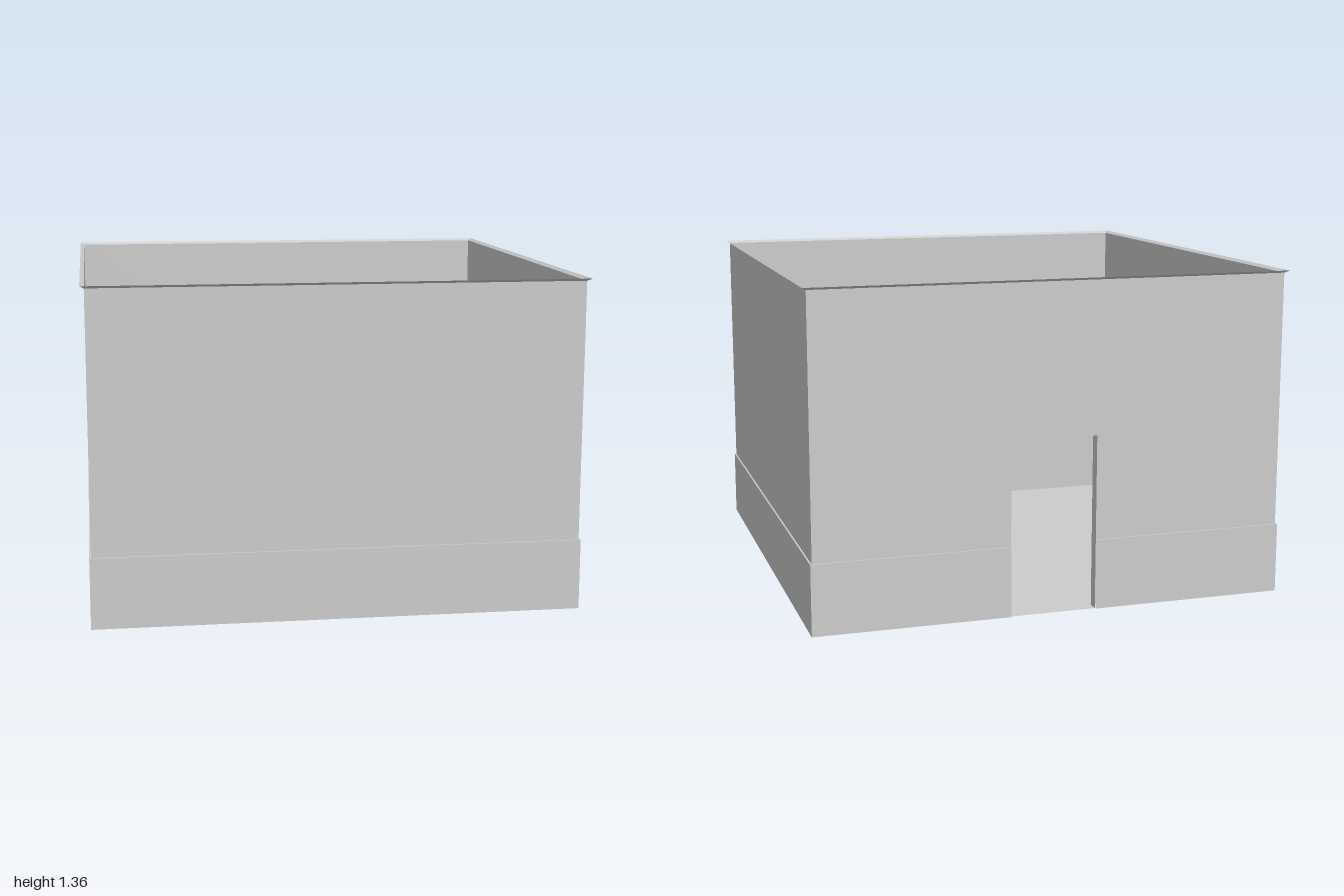
import * as THREE from 'three';

const DOOR_HALF = 0.18, DOOR_TOP = 0.72;
const OUTER = 0.983, PLINTH = 0.99, INNER = 0.937, CEILING_HALF = 0.92;
const PLINTH_TOP = 0.29, ROOM_TOP = 1.057, CEILING = 1.074, WALL_TOP = 1.345, TOP = 1.355;

export function createModel() {
  const group = new THREE.Group();
  // Every part is a thin open skin, seen from both sides
  const mat = new THREE.MeshStandardMaterial({ color: 0xcccccc, flatShading: true, side: THREE.DoubleSide });

  const add = (name, geometry) => {
    const mesh = new THREE.Mesh(geometry, mat);
    mesh.name = name;
    group.add(mesh);
  };

  const polygon = (pts) => new THREE.Shape(pts.map(([x, y]) => new THREE.Vector2(x, y)));

  // Outline of one wall, with the doorway taken out of its lower edge if asked
  const wallShapes = (h, y0, y1, door) => {
    const d = DOOR_HALF;
    if (!door) return [polygon([[-h, y0], [h, y0], [h, y1], [-h, y1]])];
    if (y1 <= DOOR_TOP) return [
      polygon([[-h, y0], [-d, y0], [-d, y1], [-h, y1]]),
      polygon([[d, y0], [h, y0], [h, y1], [d, y1]]),
    ];
    return [polygon([[-h, y0], [-d, y0], [-d, DOOR_TOP], [d, DOOR_TOP],
      [d, y0], [h, y0], [h, y1], [-h, y1]])];
  };

  // Four upright wall skins; the back one holds the door
  const walls = (name, h, y0, y1) => {
    ['front', 'left', 'back', 'right'].forEach((side, i) => {
      add(side + name, new THREE.ShapeGeometry(wallShapes(h, y0, y1, side === 'back'))
        .translate(0, 0, h).rotateY(i * Math.PI / 2));
    });
  };

  // Square sloping band running from half-width h0 at y0 up to h1 at y1
  const band = (name, h0, y0, h1, y1) => {
    const pos = [], index = [];
    const corners = [[-1, 1], [1, 1], [1, -1], [-1, -1]];
    for (const [h, y] of [[h0, y0], [h1, y1]])
      for (const [x, z] of corners) pos.push(x * h, y, z * h);
    for (let i = 0; i < 4; i++) {
      const j = (i + 1) % 4;
      index.push(i, j, j + 4, i, j + 4, i + 4);
    }
    const g = new THREE.BufferGeometry();
    g.setAttribute('position', new THREE.Float32BufferAttribute(pos, 3));
    g.setIndex(index);
    const flat = g.toNonIndexed();
    flat.computeVertexNormals();
    add(name, flat);
  };

  // Level rectangle facing up
  const level = (name, w, d, x, y, z, turn = 0) =>
    add(name, new THREE.PlaneGeometry(w, d).rotateX(-Math.PI / 2).translate(x, y, z).rotateY(turn));

  // Outer shell: plinth, walls and flared cornice
  walls('Plinth', PLINTH, 0, PLINTH_TOP);
  walls('Wall', OUTER, PLINTH_TOP, WALL_TOP);
  band('cornice', OUTER, WALL_TOP, 1, TOP);

  // Narrow ledge on the plinth, left open across the doorway
  for (let i = 0; i < 4; i++) {
    const spans = i === 2 ? [[-PLINTH, -DOOR_HALF], [DOOR_HALF, PLINTH]] : [[-PLINTH, PLINTH]];
    for (const [a, b] of spans)
      level('plinthLedge', b - a, PLINTH - OUTER, (a + b) / 2, PLINTH_TOP,
        (PLINTH + OUTER) / 2, i * Math.PI / 2);
  }

  // Inner room standing free inside the shell: floor, walls, bevel and ceiling
  level('floor', 2 * INNER, 2 * INNER, 0, 0, 0);
  walls('RoomWall', INNER, 0, ROOM_TOP);
  band('ceilingBevel', INNER, ROOM_TOP, CEILING_HALF, CEILING);
  level('ceiling', 2 * CEILING_HALF, 2 * CEILING_HALF, 0, CEILING, 0);

  // Door reveal joining shell and room: jambs, lintel and threshold
  const depth = OUTER - INNER, midZ = -(OUTER + INNER) / 2;
  for (const s of [-1, 1])
    add('doorJamb', new THREE.PlaneGeometry(depth, DOOR_TOP)
      .rotateY(-s * Math.PI / 2).translate(s * DOOR_HALF, DOOR_TOP / 2, midZ));
  level('doorLintel', 2 * DOOR_HALF, depth, 0, DOOR_TOP, midZ);
  level('threshold', 2 * DOOR_HALF, depth, 0, 0, midZ);

  return group;
}
